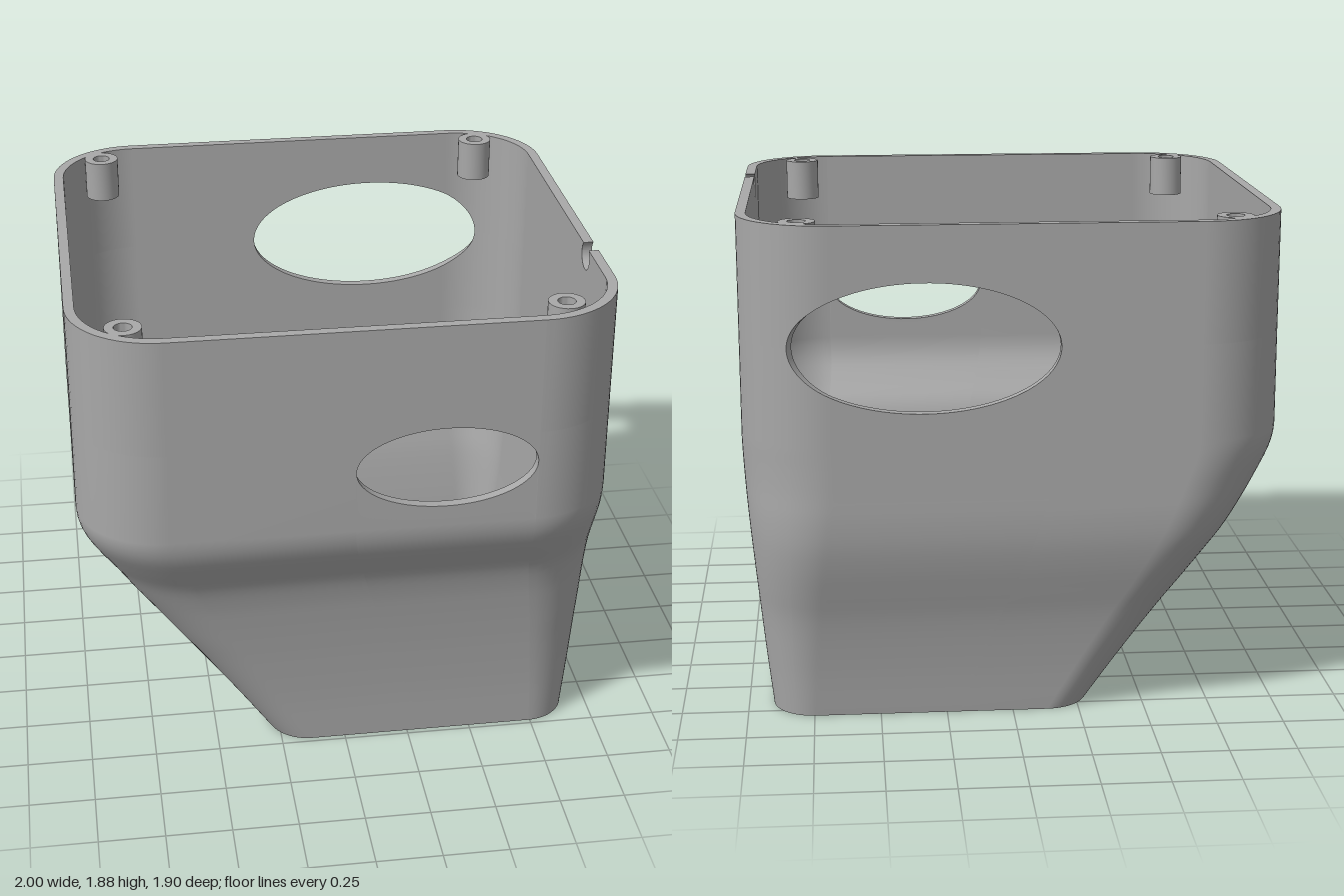
import * as THREE from 'three';
import { toCreasedNormals } from 'three/addons/utils/BufferGeometryUtils.js';

const TOP = 1.885, WALL = 0.038;

// Rounded-rectangle sections by height: y -> xMin, xMax, zMax, zMin, corner radius
const KEYS = [
  [0, -0.29, 0.905, 0.73, -0.81, 0.16],
  [0.2, -0.435, 0.928, 0.742, -0.833, 0.19],
  [0.4, -0.585, 0.948, 0.762, -0.868, 0.225],
  [0.5, -0.66, 0.957, 0.775, -0.895, 0.24],
  [0.6, -0.735, 0.966, 0.79, -0.922, 0.26],
  [0.7, -0.81, 0.975, 0.808, -0.942, 0.28],
  [0.8, -0.875, 0.984, 0.837, -0.95, 0.3],
  [0.9, -0.935, 0.992, 0.89, -0.95, 0.32],
  [1.0, -0.985, 0.998, 0.938, -0.95, 0.33],
  [1.06, -1, 1, 0.95, -0.95, 0.33],
  [1.12, -1, 1, 0.95, -0.95, 0.33],
];
const sections = new THREE.CubicInterpolant(KEYS.map(k => k[0]), KEYS.flatMap(k => k.slice(1)), 5);
const sectionAt = y => Array.from(sections.evaluate(Math.min(y, 1.12)));

// Openings: centre along the wall, centre height, half width, half height
const FRONT = { c: 0.335, y: 1.32, a: 0.333, b: 0.16 };
const BACK = { c: 0.33, y: 1.44, a: 0.49, b: 0.238 };
const NOTCH = { c: 0.345, y: TOP - 0.054 * Math.SQRT1_2, a: 0.054, b: 0.054 };
const range = (n, fn) => Array.from({ length: n + 1 }, (_, i) => fn(i / n));
const span = (h, t) => {
  const d = h.b * Math.abs(Math.sin(t));
  return { lo: h.y - d, hi: h.y + d > TOP - 1e-4 ? TOP : h.y + d };
};

// Vertical stations around the wall: corner-centre fractions, outward direction, opening span
function makeStations() {
  const list = [];
  const add = (fx, fz, nx, nz, s = { lo: 1.44, hi: 1.44 }) => list.push({ fx, fz, nx, nz, ...s });
  const arc = (fx, fz, start, from = 0, to = 1, n = 16) => range(n, k => {
    const a = start + (from + (to - from) * k) * Math.PI / 2;
    add(fx, fz, Math.sin(a), Math.cos(a));
  });
  // front wall and front-left corner
  range(48, k => {
    const t = Math.PI * (1 - k);
    add((FRONT.c + FRONT.a * Math.cos(t) + 0.67) / 1.34, 1, 0, 1, span(FRONT, t));
  });
  arc(1, 1, 0);
  // left wall with the cable notch
  range(24, k => {
    const t = Math.PI * k;
    add(1, (NOTCH.c + NOTCH.a * Math.cos(t) + 0.62) / 1.24, 1, 0, span(NOTCH, t));
  });
  // back-left corner and back wall, the opening wraps the corner
  const tip = Math.acos((BACK.c + BACK.a - 0.67) / 0.33) / (Math.PI / 2);
  arc(1, 0, Math.PI / 2, 0, tip - 0.04, 12);
  range(60, k => {
    const t = Math.PI * k, x = BACK.c + BACK.a * Math.cos(t), s = span(BACK, t);
    if (x > 0.67) {
      const c = (x - 0.67) / 0.33;
      add(1, 0, c, -Math.sqrt(1 - c * c), s);
    } else add((x + 0.67) / 1.34, 0, 0, -1, s);
  });
  // plain corners on the other side
  arc(0, 0, Math.PI);
  arc(0, 1, Math.PI * 1.5);
  return list;
}

function point(st, y, inset) {
  const [x0, x1, z1, z0, r] = sectionAt(y), d = r - inset;
  return [
    THREE.MathUtils.lerp(x0 + r, x1 - r, st.fx) + d * st.nx, y,
    THREE.MathUtils.lerp(z0 + r, z1 - r, st.fz) + d * st.nz,
  ];
}

// Closed grid: rows[j](station) gives a point; keep(j, a, b) picks the quads
function grid(stations, rows, keep, flip) {
  const pos = [], index = [], n = stations.length;
  for (const row of rows) for (const st of stations) pos.push(...row(st));
  for (let j = 0; j < rows.length - 1; j++) for (let i = 0; i < n; i++) {
    const k = (i + 1) % n;
    if (!keep(j, stations[i], stations[k])) continue;
    const a = j * n + i, b = j * n + k, c = b + n, d = a + n;
    index.push(...(flip ? [a, c, b, a, d, c] : [a, b, c, a, c, d]));
  }
  const g = new THREE.BufferGeometry();
  g.setAttribute('position', new THREE.Float32BufferAttribute(pos, 3));
  g.setIndex(index);
  g.computeVertexNormals();
  return g;
}

export function createModel() {
  const group = new THREE.Group();
  const grey = new THREE.MeshStandardMaterial({ color: 0xa8a8a8, side: THREE.DoubleSide });
  grey.name = 'plain grey';
  const addMesh = (name, geometry) => {
    const mesh = new THREE.Mesh(geometry, grey);
    mesh.name = name;
    group.add(mesh);
    return mesh;
  };
  const stations = makeStations();

  // Outer and inner skins, with the openings left out
  const skin = (inset, flip) => {
    const rows = range(36, k => st => point(st, 1.08 * k, inset));
    const gap = rows.length;
    rows.push(st => point(st, st.lo, inset), st => point(st, st.hi, inset), st => point(st, TOP, inset));
    return grid(stations, rows,
      (j, a, b) => j !== gap && !(j === gap + 1 && a.hi === TOP && b.hi === TOP), flip);
  };
  addMesh('outerWall', skin(0, false));
  addMesh('innerWall', skin(WALL, true));

  // Rims joining the two skins
  const rim = (name, height, keep, flip) => addMesh(name, grid(stations,
    [st => point(st, height(st), 0), st => point(st, height(st), WALL)], (j, a, b) => keep(a, b), flip));
  const open = (a, b) => a.hi > a.lo || b.hi > b.lo;
  const cut = (a, b) => a.hi === TOP && b.hi === TOP;
  rim('topRim', () => TOP, (a, b) => !cut(a, b), false);
  rim('bottomRim', () => 0, () => true, true);
  rim('openingLowerEdge', st => st.lo, open, false);
  rim('openingUpperEdge', st => st.hi, (a, b) => open(a, b) && !cut(a, b), true);

  // Screw bosses with blind holes
  const profile = [[0, -0.16], [0.067, -0.16], [0.067, 0], [0.033, 0], [0.033, -0.14], [0, -0.14]];
  const boss = toCreasedNormals(
    new THREE.LatheGeometry(profile.map(p => new THREE.Vector2(...p)), 32), 0.6);
  for (const [x, z] of [[-0.8, -0.815], [0.775, -0.83], [-0.8, 0.805], [0.775, 0.805]])
    addMesh('screwBoss', boss).position.set(x, TOP, z);

  return group;
}
